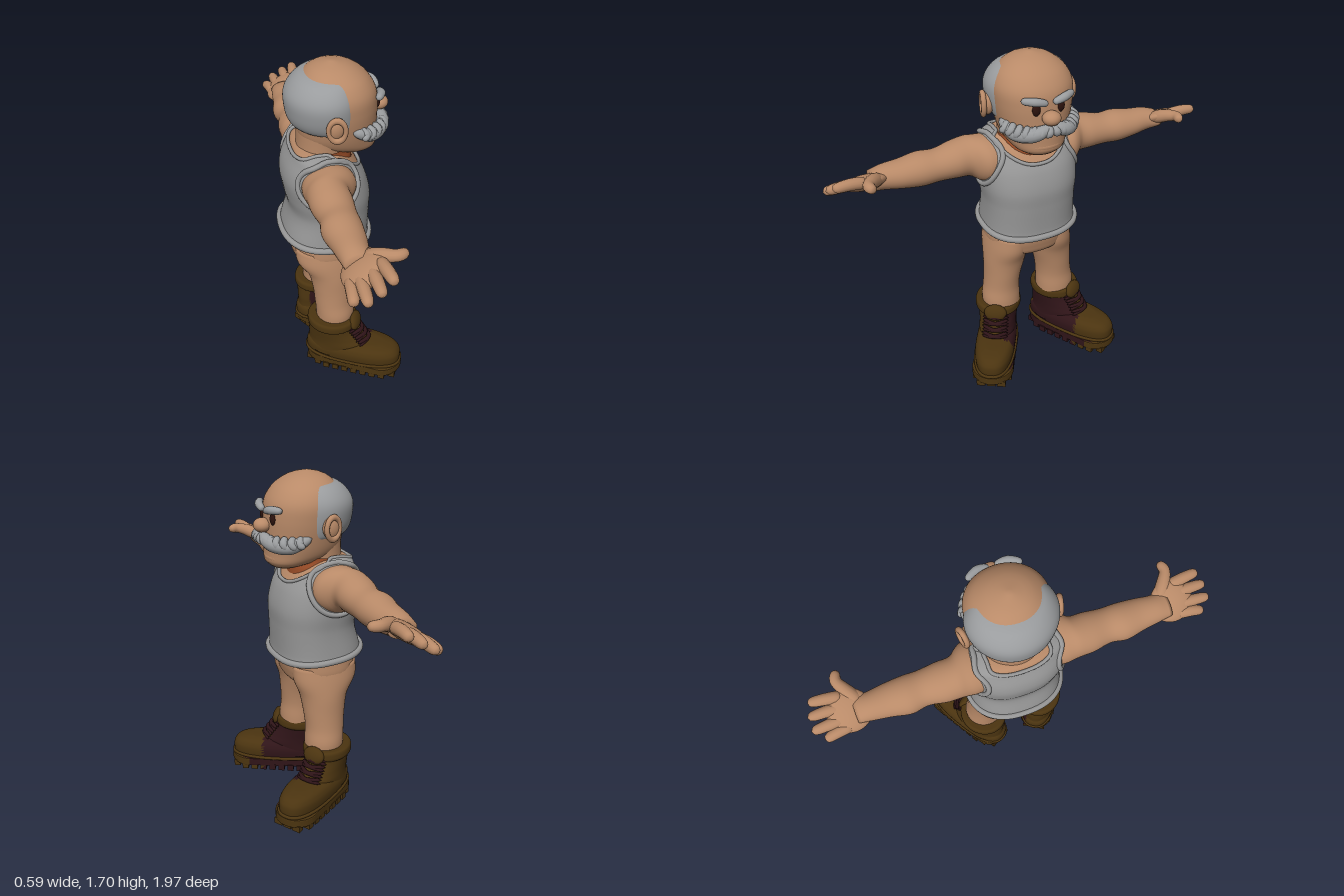
import * as THREE from 'three';
import { mergeVertices, mergeGeometries } from 'three/addons/utils/BufferGeometryUtils.js';

const V = (x, y, z) => new THREE.Vector3(x, y, z);
const mat = (name, color) => {
  const m = new THREE.MeshStandardMaterial({ color });
  m.name = name;
  return m;
};
const power = (c, p) => Math.sign(c) * Math.abs(c) ** (2 / p);

// Weld a geometry and give it smooth normals
function smooth(geo) {
  geo.deleteAttribute('uv');
  geo.deleteAttribute('normal');
  const g = mergeVertices(geo, 1e-5);
  g.computeVertexNormals();
  return g;
}

// Smoothly interpolate profile rows [y, centreX, centreZ, radiusX, radiusZ]
function at(rows, y) {
  const last = rows.length - 1;
  y = Math.min(Math.max(y, rows[0][0]), rows[last][0]);
  let i = 0;
  while (i < last - 1 && y > rows[i + 1][0]) i++;
  const h = rows[i + 1][0] - rows[i][0], t = (y - rows[i][0]) / h;
  const slope = (j, k) => {
    const a = rows[Math.max(j - 1, 0)], b = rows[Math.min(j + 1, last)];
    return (b[k] - a[k]) / (b[0] - a[0]);
  };
  return [1, 2, 3, 4].map(k => {
    const t2 = t * t, t3 = t2 * t;
    return (2 * t3 - 3 * t2 + 1) * rows[i][k] + (t3 - 2 * t2 + t) * h * slope(i, k)
      + (3 * t2 - 2 * t3) * rows[i + 1][k] + (t3 - t2) * h * slope(i + 1, k);
  });
}
function surfacePoint(rows, y, a, p = 2, off = 0, size = 1) {
  const [cx, cz, rx, rz] = at(rows, y);
  return V(cx + size * (rx + off) * power(Math.cos(a), p), y, cz + size * (rz + off) * power(Math.sin(a), p));
}

// Surface through the rows; lo and hi may vary around it
function loft(rows, { n = 40, m = 28, p = 2, from = 0, to = Math.PI * 2, caps = true,
  lo = () => rows[0][0], hi = () => rows[rows.length - 1][0], off = () => 0 } = {}) {
  const pos = [], index = [], first = caps ? -1 : 0, end = caps ? m + 1 : m;
  for (let j = first; j <= end; j++) for (let i = 0; i <= n; i++) {
    const a = from + (to - from) * i / n, v = Math.min(Math.max(j / m, 0), 1);
    const q = surfacePoint(rows, lo(a) + (hi(a) - lo(a)) * v, a, p, off(a, v), j < 0 || j > m ? 0 : 1);
    pos.push(q.x, q.y, q.z);
  }
  for (let j = 0; j < end - first; j++) for (let i = 0; i < n; i++) {
    const a = j * (n + 1) + i, b = a + n + 1;
    index.push(a, b, a + 1, a + 1, b, b + 1);
  }
  const g = new THREE.BufferGeometry();
  g.setAttribute('position', new THREE.Float32BufferAttribute(pos, 3));
  g.setIndex(index);
  return smooth(g);
}

// Rounded limb along points, with a radius for each point
function limb(points, radii, n = 20, sides = 14) {
  const curve = new THREE.CatmullRomCurve3(points.map(q => V(...q)));
  const g = new THREE.TubeGeometry(curve, n, 1, sides), P = g.attributes.position;
  for (let i = 0; i <= n; i++) {
    const t = i / n, f = t * (radii.length - 1), k = Math.min(Math.floor(f), radii.length - 2);
    const r = (radii[k] + (radii[k + 1] - radii[k]) * (f - k)) * Math.sqrt(Math.max(0, 1 - Math.abs(2 * t - 1) ** 6));
    const c = curve.getPointAt(t);
    for (let s = 0; s <= sides; s++) {
      const j = i * (sides + 1) + s, v = V().fromBufferAttribute(P, j).sub(c).multiplyScalar(r).add(c);
      P.setXYZ(j, v.x, v.y, v.z);
    }
  }
  return smooth(g);
}
const ring = (points, r) => smooth(new THREE.TubeGeometry(new THREE.CatmullRomCurve3(points, true), 80, r, 10, true));
const ball = (x, y, z, rx, ry, rz, tilt = 0) =>
  smooth(new THREE.SphereGeometry(1, 28, 20).scale(rx, ry, rz).rotateZ(tilt).translate(x, y, z));

function mirrored(geo) {
  const g = geo.clone().scale(1, 1, -1), ix = g.index;
  for (let i = 0; i < ix.count; i += 3) {
    const b = ix.getX(i + 1);
    ix.setX(i + 1, ix.getX(i + 2));
    ix.setX(i + 2, b);
  }
  return g;
}
// Split triangles into two material groups by their centre
function paint(geo, test) {
  const sets = [[], []], P = geo.attributes.position, ix = geo.index.array;
  for (let i = 0; i < ix.length; i += 3) {
    const tri = [ix[i], ix[i + 1], ix[i + 2]], c = V();
    tri.forEach(k => c.add(V().fromBufferAttribute(P, k)));
    sets[test(c.divideScalar(3)) ? 1 : 0].push(...tri);
  }
  geo.setIndex([...sets[0], ...sets[1]]);
  geo.clearGroups();
  geo.addGroup(0, sets[0].length, 0);
  geo.addGroup(sets[0].length, sets[1].length, 1);
  return geo;
}

const HEAD = [[1.262, .09, 0, .07, .08], [1.285, .06, 0, .125, .12], [1.33, .01, 0, .178, .152], [1.42, -.005, 0, .192, .178],
  [1.5, -.006, 0, .192, .19], [1.57, -.01, 0, .186, .19], [1.625, -.015, 0, .158, .165], [1.66, -.02, 0, .123, .128],
  [1.688, -.025, 0, .075, .078], [1.703, -.025, 0, .015, .015]];
const VEST = [[.78, -.068, 0, .218, .245], [.83, -.068, 0, .215, .238], [.96, -.05, 0, .2, .233], [1.05, -.057, 0, .207, .243],
  [1.14, -.075, 0, .2, .246], [1.2, -.087, 0, .177, .242], [1.26, -.097, 0, .138, .23], [1.295, -.107, 0, .108, .2], [1.312, -.1, 0, .08, .13]];
const NECK = [[1.15, -.07, 0, .13, .15], [1.25, -.075, 0, .13, .145], [1.3, -.075, 0, .12, .14], [1.42, -.06, 0, .13, .15]];
const HIPS = [[.635, -.07, 0, .1, .11], [.66, -.07, 0, .155, .19], [.71, -.07, 0, .178, .222], [.78, -.068, 0, .188, .224], [.86, -.06, 0, .18, .215]];
const LEG = [[.29, -.05, .158, .1, .1], [.35, -.05, .16, .1, .102], [.42, -.055, .155, .1, .096], [.5, -.055, .147, .107, .098],
  [.6, -.058, .132, .125, .11], [.68, -.07, .12, .165, .114], [.76, -.07, .11, .17, .11]];
// Arm rows run along z: [z, x, -y, radiusX, radiusY]
const ARM = [[.14, -.09, -1.175, .12, .105], [.22, -.09, -1.175, .128, .115], [.258, -.1, -1.18, .115, .11], [.29, -.115, -1.188, .1, .1],
  [.36, -.115, -1.185, .098, .09], [.45, -.11, -1.178, .086, .078], [.53, -.115, -1.175, .092, .082], [.62, -.11, -1.175, .08, .07],
  [.71, -.11, -1.178, .068, .058], [.77, -.1, -1.178, .07, .042]];
const FOOT = [[.06, .157, 0, .255, .1], [.11, .157, 0, .258, .106], [.14, .157, 0, .25, .102], [.165, .155, 0, .22, .085], [.178, .15, 0, .16, .05]];
const SHAFT = [[.09, .05, 0, .145, .1], [.16, .075, 0, .165, .1], [.2, .06, 0, .15, .1], [.25, .045, 0, .13, .105], [.31, .04, 0, .118, .112]];
const CUFF = [[.265, .04, 0, .118, .108], [.278, .04, 0, .132, .12], [.3, .04, 0, .134, .122], [.318, .04, 0, .13, .118], [.325, .04, 0, .118, .108]];

export function createModel() {
  const model = new THREE.Group();
  model.name = 'standingMan';
  const skin = mat('skin', 0xb98a68), cloth = mat('vestGrey', 0x969696), hair = mat('hairGrey', 0x9a9c9e), leather = mat('bootBrown', 0x4b3410),
    maroon = mat('darkMaroon', 0x2f1418), rust = mat('neckRust', 0x9c4e28), dark = mat('eyeBrown', 0x2c130e);
  vestSides(cloth);
  const add = (name, geo, m) => {
    const mesh = new THREE.Mesh(geo, m);
    mesh.name = name;
    model.add(mesh);
  };
  const pair = (name, geo, m) => {
    add('right' + name, geo, m);
    add('left' + name, mirrored(geo), m);
  };
  const loop = f => Array.from({ length: 48 }, (_, i) => f(i / 48 * Math.PI * 2));

  // Head and face; the figure faces +x
  add('head', loft(HEAD, { n: 48, m: 40, p: 2.1 }), skin);
  add('chin', ball(.12, 1.31, 0, .07, .04, .1), skin);
  add('nose', ball(.205, 1.465, 0, .042, .034, .044), skin);
  pair('Eye', ball(.174, 1.503, .06, .014, .03, .02), dark);
  pair('Eyebrow', limb([[.195, 1.533, .012], [.19, 1.548, .07], [.158, 1.552, .13]], [.016, .02, .016]), hair);
  pair('Ear', mergeGeometries([ball(-.055, 1.472, .2, .042, .056, .028),
    smooth(new THREE.TorusGeometry(.045, .013, 10, 28).scale(.85, 1.15, 1).rotateY(-.25).translate(-.055, 1.472, .222))]), skin);
  const edge = a => 1 - Math.abs((a - Math.PI) / 1.75) ** 8;
  add('hairFringe', loft(HEAD, { n: 56, m: 24, caps: false, from: Math.PI - 1.75, to: Math.PI + 1.75, lo: () => 1.405, hi: () => 1.66,
    off: (a, v) => (.026 + .03 * Math.max(0, -Math.cos(a))) * Math.max(0, Math.sin(Math.PI * v)) ** .4 * Math.max(0, edge(a)) - .008 }), hair);

  // Moustache: a curled lobe with slanting tufts on each side
  const whiskers = [limb([[.21, 1.425, -.005], [.195, 1.395, .075], [.13, 1.385, .14], [.03, 1.425, .178]], [.026, .036, .036, .022])];
  for (let i = 0; i < 7; i++) {
    const a = .06 + i * .19, x = .205 * Math.cos(a), z = .185 * Math.sin(a);
    whiskers.push(limb([[x, 1.432, z * .9], [x + .018, 1.4, z + .008], [x * .96, 1.365 + .008 * Math.abs(i - 3), z + .022]], [.014, .021, .013], 12, 10));
  }
  pair('Moustache', mergeGeometries(whiskers), hair);

  // Neck, chest and vest
  add('neck', loft(NECK), skin);
  add('neckShade', loft(NECK, { caps: false, from: -1.5, to: 1.5, lo: () => 1.21, hi: () => 1.31, off: () => .01 }), rust);
  add('chest', loft(VEST, { p: 2.4, lo: () => .95, hi: () => 1.305, off: () => -.012 }), skin);
  const hem = a => .803 - .017 * Math.cos(a);
  const neckline = a => 1.308 - (Math.cos(a) > 0 ? .125 : .028) * Math.abs(Math.cos(a)) ** 3;
  add('vest', loft(VEST, { n: 72, m: 44, p: 2.4, caps: false, lo: hem, hi: neckline }), cloth);
  add('vestHem', ring(loop(a => surfacePoint(VEST, hem(a) + .008, a, 2.4, .003)), .016), cloth);
  add('necklineTrim', ring(loop(a => surfacePoint(VEST, neckline(a), a, 2.4)), .009), cloth);
  pair('ArmholeTrim', ring(loop(a => {
    const x = -.09 + .14 * Math.cos(a), y = 1.175 + .123 * Math.sin(a), [cx, , rx, rz] = at(VEST, y);
    return V(x, y, rz * Math.max(.15, 1 - Math.abs((x - cx) / rx) ** 2.4) ** (1 / 2.4));
  }), .013), cloth);

  // Arms and hands
  pair('Arm', loft(ARM, { m: 44 }).rotateX(Math.PI / 2), skin);
  const palmY = x => 1.18 + (x + .09) * .6;
  const hand = [ball(-.098, 1.176, .795, .104, .038, .105, .54)];
  [[-.155, -.178, .94], [-.12, -.13, .985], [-.075, -.073, .98], [-.035, -.018, .958]].forEach(([x0, x1, z]) =>
    hand.push(limb([[x0, palmY(x0), .8], [(x0 + x1) / 2, palmY((x0 + x1) / 2) + .006, .88], [x1, palmY(x1), z]], [.03, .028, .024])));
  hand.push(limb([[-.08, 1.19, .735], [-.01, 1.222, .785], [.04, 1.232, .81], [.088, 1.232, .795]], [.035, .034, .027, .025]));
  pair('Hand', mergeGeometries(hand), skin);

  // Hips and legs
  add('hips', loft(HIPS, { p: 2.3 }), skin);
  pair('Leg', loft(LEG), skin);

  // Boots, built pointing along x and then turned outwards
  const place = g => g.rotateY(-.534).translate(-.1, 0, .15);
  const inner = c => c.z < -.05 && c.x < .24 && c.x > -.08;
  const boot = (name, geo, m) => pair(name, place(geo), m);
  boot('BootFoot', paint(loft(FOOT, { n: 64, p: 2.5 }), inner), [leather, maroon]);
  boot('BootShaft', paint(loft(SHAFT, { n: 64 }), inner), [leather, maroon]);
  boot('BootCuff', loft(CUFF), leather);
  boot('BootTongue', ball(.165, .3, 0, .025, .045, .06, .3), leather);
  boot('BootWelt', ring(loop(a => surfacePoint(FOOT, .075, a, 2.5, .002)), .009), leather);
  const outline = new THREE.Shape();
  outline.absarc(.314, 0, .104, -Math.PI / 2, Math.PI / 2);
  outline.absarc(0, 0, .092, Math.PI / 2, Math.PI * 1.5);
  const sole = new THREE.ExtrudeGeometry(outline, { depth: .033, bevelSize: .006, bevelThickness: .006, bevelSegments: 2, curveSegments: 20 });
  boot('BootSole', paint(mergeVertices(sole.rotateX(-Math.PI / 2).translate(0, .03, 0)), inner), [leather, maroon]);

  // Tread lugs in rows across the sole
  const lugs = [];
  for (let i = 0; i < 10; i++) {
    const x = -.07 + i * .051;
    const end = x < 0 ? -x : Math.max(0, x - .314), half = Math.sqrt((x < 0 ? .0092 : .0116) - end * end);
    for (let k = -1; k <= 1; k++)
      lugs.push(new THREE.BoxGeometry(.034, .034, half * .58).translate(x, .017, k * half * .69));
  }
  boot('BootTread', paint(mergeGeometries(lugs), inner), [leather, maroon]);

  // Laces crossing the instep
  const laces = [];
  for (let i = 0; i < 4; i++) {
    const x = .172 + i * .019, y = .278 - i * .028;
    for (const s of [-1, 1])
      laces.push(limb([[x - .03, y, -.07 * s], [x + .012, y + .003, 0], [x - .02, y - .018, .07 * s]], [.009, .011, .009], 12, 8));
  }
  boot('BootLaces', mergeGeometries(laces), maroon);
  return model;
}

// Open cloth shows from both sides
function vestSides(material) {
  material.side = THREE.DoubleSide;
}
